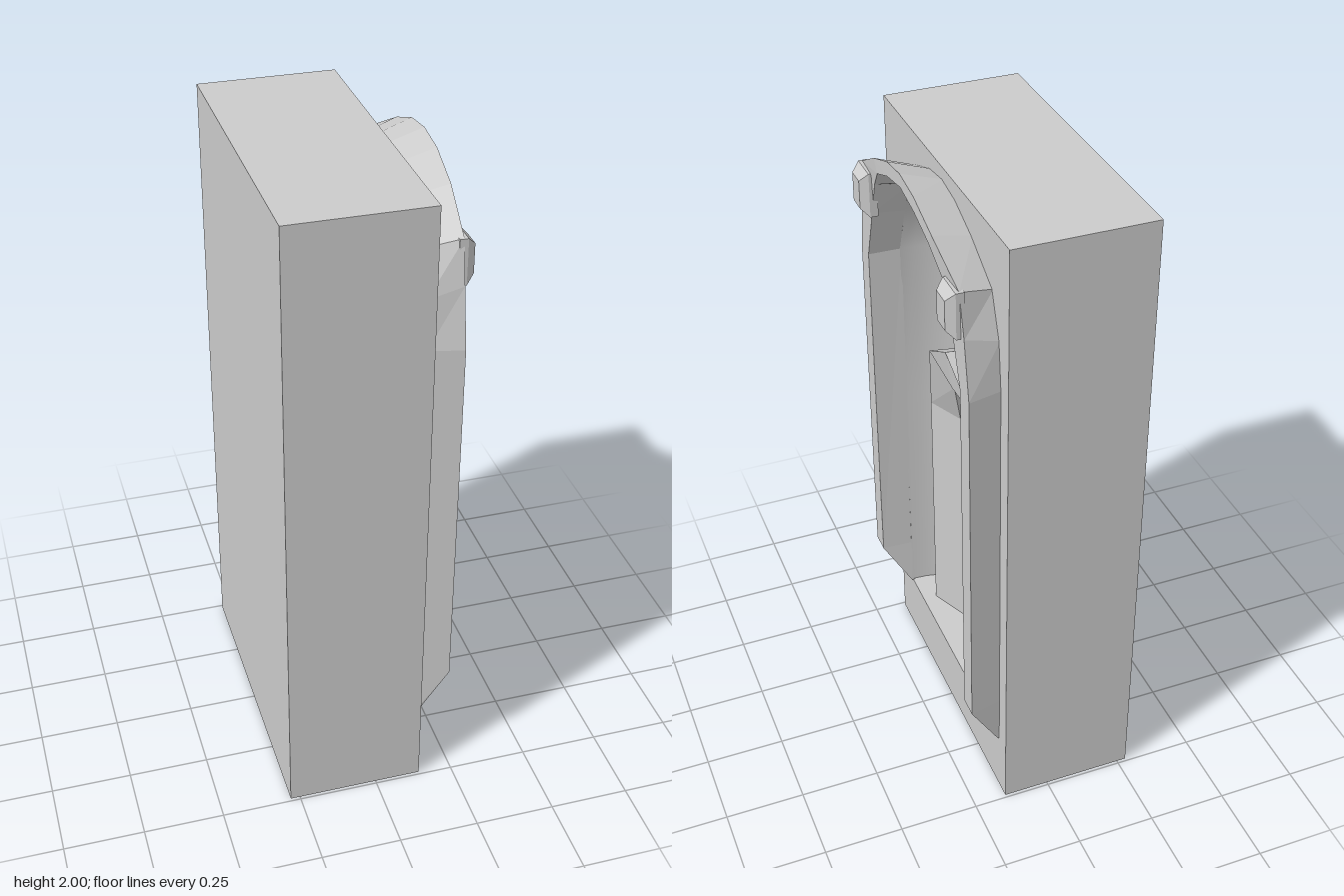
import * as THREE from 'three';

const FACE = 0.145;   // x of the wall face that holds the niche
const FLOOR = 0.21;   // height of the niche floor

const material = new THREE.MeshStandardMaterial({ color: 0xcccccc });

function addMesh(parent, name, geometry) {
  const mesh = new THREE.Mesh(geometry, material);
  mesh.name = name;
  parent.add(mesh);
  return mesh;
}

// Niche outline: [height, half width, depth]
const niche = [
  [FLOOR, 0.385, 0.37], [1.0, 0.39, 0.37], [1.54, 0.39, 0.37], [1.7, 0.33, 0.33],
  [1.82, 0.27, 0.26], [1.885, 0.14, 0.15], [1.92, 0, 0],
];

// Sweeps a four-cornered section through half an arch and mirrors it across z.
// Section order: outer back, outer front, inner front, inner back.
function archLoft(half) {
  const mirrored = half.slice(0, -1).reverse().map(s => s.map(([x, y, z]) => [x, y, -z]));
  const rings = [...half, ...mirrored];
  const pos = [];
  const quad = (a, b, c, d) => pos.push(...a, ...b, ...c, ...a, ...c, ...d);
  for (let i = 0; i < rings.length - 1; i++) {
    const p = rings[i], q = rings[i + 1];
    for (let j = 0; j < 4; j++) {
      const k = (j + 1) % 4;
      quad(p[j], p[k], q[k], q[j]);
    }
  }
  quad(...[...rings[0]].reverse());
  quad(...rings[rings.length - 1]);
  const g = new THREE.BufferGeometry();
  g.setAttribute('position', new THREE.Float32BufferAttribute(pos, 3));
  g.computeVertexNormals();
  return g;
}

// Block without its +x side, plus a face pierced by the niche opening
function buildBlock(parent) {
  const box = new THREE.BoxGeometry(0.425, 2, 0.98);
  box.setIndex(Array.from(box.index.array).slice(6));
  box.clearGroups();
  box.translate(FACE - 0.2125, 1, 0);
  addMesh(parent, 'wallBlock', box);

  const shape = new THREE.Shape([[-0.49, 0], [0.49, 0], [0.49, 2], [-0.49, 2]]
    .map(p => new THREE.Vector2(...p)));
  const right = niche.map(([y, w]) => new THREE.Vector2(w, y));
  const left = niche.slice(0, -1).reverse().map(([y, w]) => new THREE.Vector2(-w, y));
  shape.holes.push(new THREE.Path([...right, ...left]));
  const face = new THREE.ShapeGeometry(shape);
  face.rotateY(Math.PI / 2);
  face.translate(FACE, 0, 0);
  addMesh(parent, 'wallFace', face);
}

// Rounded recess with a domed head and a flat floor
function buildNiche(parent) {
  const rows = niche.length - 1, cols = 24;
  const g = new THREE.PlaneGeometry(1, 1, cols, rows);
  const p = g.attributes.position;
  for (let i = 0; i < p.count; i++) {
    const [y, w, d] = niche[Math.round((p.getY(i) + 0.5) * rows)];
    const t = Math.PI * (p.getX(i) + 0.5);
    p.setXYZ(i, FACE - d * Math.sin(t), y, w * Math.cos(t));
  }
  g.computeVertexNormals();
  addMesh(parent, 'nicheWall', g);

  const floor = new THREE.CircleGeometry(1, cols, 0, Math.PI);
  floor.rotateX(-Math.PI / 2);
  floor.rotateY(Math.PI / 2);
  floor.scale(niche[0][2], 1, niche[0][1]);
  floor.translate(FACE, FLOOR, 0);
  addMesh(parent, 'nicheFloor', floor);
}

// Raised surround that flares out into a hood at the top
function buildSurround(parent) {
  const b = FACE - 0.005;
  addMesh(parent, 'surround', archLoft([
    [[b, 0.21, 0.435], [0.15, 0.21, 0.435], [0.15, 0.21, 0.38], [b, 0.21, 0.38]],
    [[b, 0.375, 0.435], [0.245, 0.375, 0.458], [0.245, 0.375, 0.392], [b, 0.375, 0.387]],
    [[b, 1.54, 0.435], [0.245, 1.54, 0.458], [0.245, 1.54, 0.392], [b, 1.54, 0.39]],
    [[b, 1.69, 0.42], [0.245, 1.72, 0.427], [0.245, 1.71, 0.333], [b, 1.7, 0.33]],
    [[b, 1.82, 0.37], [0.247, 1.85, 0.4], [0.25, 1.83, 0.28], [b, 1.82, 0.27]],
    [[b, 1.9, 0.22], [0.262, 1.935, 0.24], [0.262, 1.9, 0.21], [b, 1.851, 0.21]],
    [[b, 1.945, 0.1], [0.265, 1.985, 0.11], [0.265, 1.94, 0.11], [b, 1.893, 0.11]],
    [[b, 1.96, 0], [0.265, 2, 0], [0.265, 1.96, 0], [b, 1.92, 0]],
  ]));
}

// Pointed doorway standing inside the niche, dropping slightly to the rear
function buildDoorway(parent) {
  const back = -0.24;
  addMesh(parent, 'pointedDoorway', archLoft([
    [[back, FLOOR, 0.27], [0.1, FLOOR, 0.27], [0.045, FLOOR, 0.147], [back, FLOOR, 0.18]],
    [[back, 1.01, 0.27], [0.1, 1.035, 0.268], [0.045, 1.035, 0.147], [back, 1.01, 0.18]],
    [[back, 1.25, 0.17], [0.135, 1.3, 0.17], [0.085, 1.2, 0.09], [back, 1.16, 0.11]],
    [[back, 1.35, 0], [0.145, 1.4, 0], [0.125, 1.268, 0], [back, 1.21, 0]],
  ]));
}

// Bevelled blocks at both ends of the hood
function buildBrackets(parent) {
  for (const side of [1, -1]) {
    const g = new THREE.BoxGeometry(0.05, 0.14, 0.095, 2, 1, 1);
    const p = g.attributes.position;
    for (let i = 0; i < p.count; i++) {
      if (p.getX(i) > 0.01) p.setXYZ(i, p.getX(i), p.getY(i) * 0.64, p.getZ(i) * 0.64);
    }
    const flat = g.toNonIndexed();
    flat.computeVertexNormals();
    const m = addMesh(parent, side > 0 ? 'leftBracket' : 'rightBracket', flat);
    m.position.set(0.258, 1.78, side * 0.357);
  }
}

export function createModel() {
  const group = new THREE.Group();
  group.name = 'nicheWall';
  buildBlock(group);
  buildNiche(group);
  buildSurround(group);
  buildDoorway(group);
  buildBrackets(group);
  return group;
}
